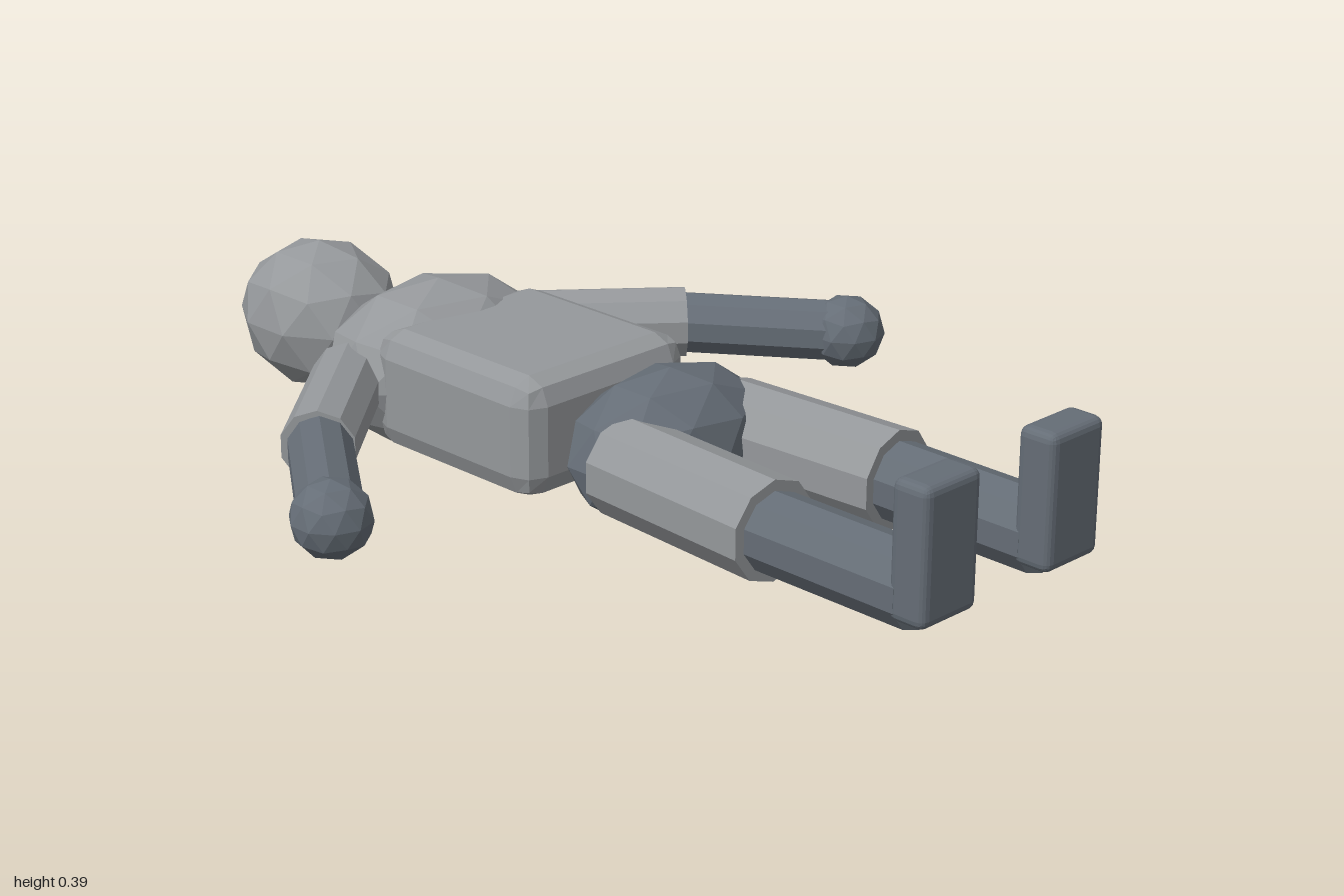
import * as THREE from 'three';
import { RoundedBoxGeometry } from 'three/addons/geometries/RoundedBoxGeometry.js';

const MID = 0.168; // height of the body axis above the ground

// Give every facet its own normal
function faceted(geometry) {
  const g = geometry.index ? geometry.toNonIndexed() : geometry;
  g.computeVertexNormals();
  return g;
}

export function createModel() {
  const model = new THREE.Group();
  model.name = 'lyingFigure';
  const light = new THREE.MeshStandardMaterial({ color: 0x95989b });
  light.name = 'lightGrey';
  const dark = new THREE.MeshStandardMaterial({ color: 0x656d76 });
  dark.name = 'darkGrey';

  function add(name, geometry, material, x, y, z) {
    const mesh = new THREE.Mesh(faceted(geometry), material);
    mesh.name = name;
    mesh.position.set(x, y, z);
    model.add(mesh);
    return mesh;
  }

  // Low-poly ellipsoid with a corner at its top and bottom
  function ball(name, material, pos, radii) {
    const g = new THREE.IcosahedronGeometry(1, 1);
    g.rotateX(-Math.atan((1 + Math.sqrt(5)) / 2));
    g.rotateY(Math.PI / 2);
    g.scale(...radii);
    return add(name, g, material, ...pos);
  }

  // Level straight limb between two points given as [x, z]
  function limb(name, material, a, b, radius) {
    const dx = b[0] - a[0], dz = b[1] - a[1];
    const g = new THREE.CylinderGeometry(radius, radius, Math.hypot(dx, dz), 10);
    g.rotateX(Math.PI / 2);
    const mesh = add(name, g, material, (a[0] + b[0]) / 2, MID + 0.002, (a[1] + b[1]) / 2);
    mesh.rotation.y = Math.atan2(dx, dz);
  }

  // Head and trunk
  ball('head', light, [0, 0.166, -0.82], [0.157, 0.155, 0.18]);
  ball('chest', light, [0, 0.166, -0.455], [0.255, 0.166, 0.19]);
  add('torso', new RoundedBoxGeometry(0.43, 0.24, 0.45, 1, 0.05), light, 0, 0.17, -0.195);
  ball('hips', dark, [0, 0.169, 0.183], [0.23, 0.149, 0.148]);

  // Arms and legs, mirrored
  for (const [side, s] of [['left', 1], ['right', -1]]) {
    limb(side + 'UpperArm', light, [s * 0.21, -0.485], [s * 0.485, -0.25], 0.073);
    limb(side + 'Forearm', dark, [s * 0.48, -0.25], [s * 0.665, 0.0], 0.063);
    ball(side + 'Hand', dark, [s * 0.678, MID + 0.002, 0.018], [0.077, 0.075, 0.078]);
    limb(side + 'Thigh', light, [s * 0.14, 0.205], [s * 0.164, 0.6], 0.097);
    limb(side + 'Shin', dark, [s * 0.164, 0.58], [s * 0.164, 0.935], 0.076);
    add(side + 'Foot', new RoundedBoxGeometry(0.145, 0.26, 0.08, 2, 0.018), dark, s * 0.164, 0.26, 0.96);
  }
  return model;
}
